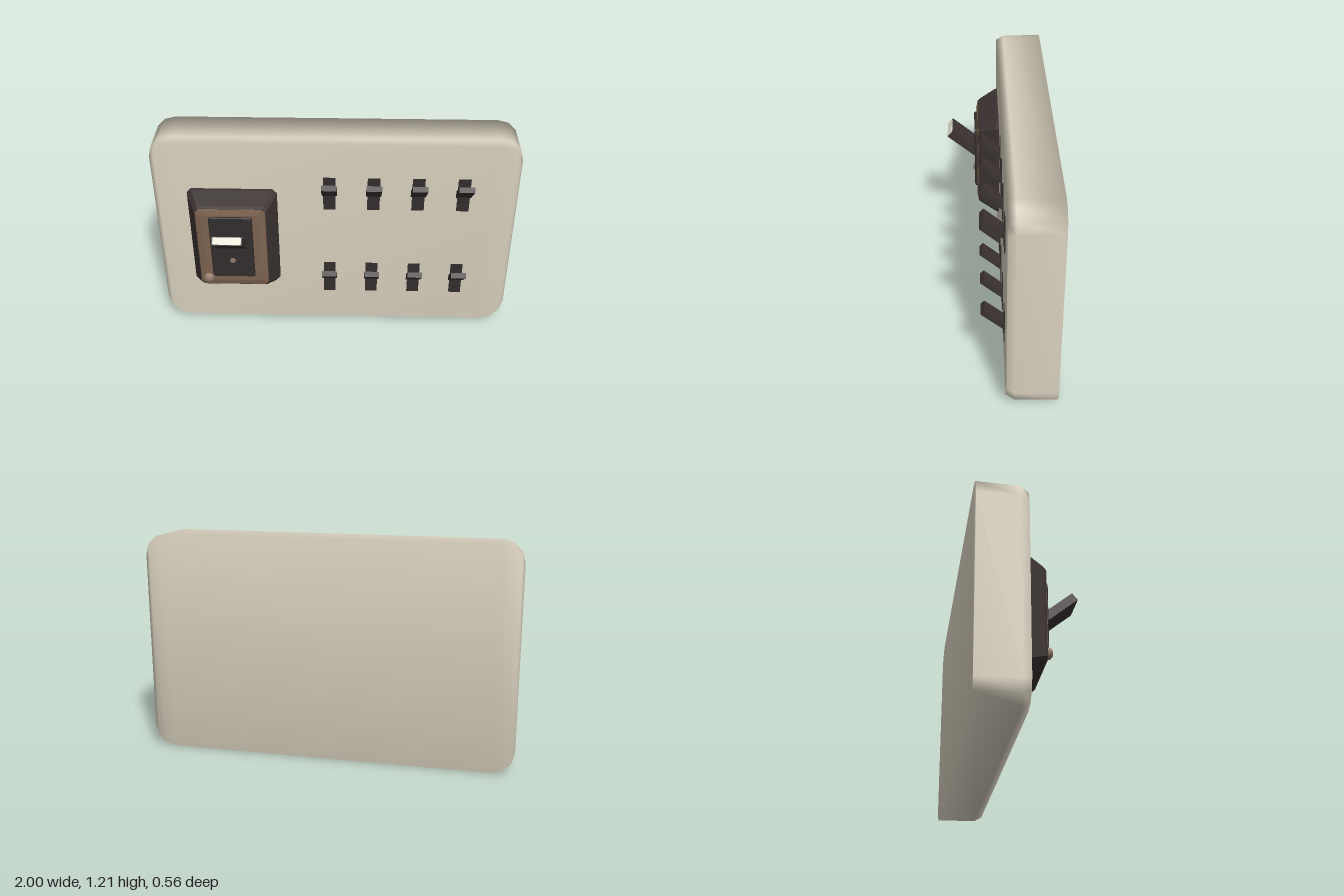
import * as THREE from 'three';

const mat = (name, color) => new THREE.MeshStandardMaterial({ name, color });

// Lofted rounded slab: each ring is [halfWidth, halfHeight, cornerRadius, z], back to front
function loft(rings, segs, flat) {
  const pos = [], index = [], n = 4 * (segs + 1);
  for (const [w, h, r, z] of rings) {
    for (let c = 0; c < 4; c++) {
      const cx = (c === 0 || c === 3 ? 1 : -1) * (w - r);
      const cy = (c < 2 ? 1 : -1) * (h - r);
      for (let s = 0; s <= segs; s++) {
        const a = (c + s / segs) * Math.PI / 2;
        pos.push(cx + r * Math.cos(a), cy + r * Math.sin(a), z);
      }
    }
  }
  for (let k = 0; k < rings.length - 1; k++) {
    for (let i = 0; i < n; i++) {
      const j = (i + 1) % n, a = k * n + i, b = k * n + j;
      index.push(a, b, b + n, a, b + n, a + n);
    }
  }
  // caps run as strips from the top edge to the bottom edge
  const f = (rings.length - 1) * n;
  for (let i = 0; i < n / 2 - 1; i++) {
    const a = i, b = i + 1, c = n - 2 - i, d = n - 1 - i;
    index.push(f + a, f + b, f + c, f + a, f + c, f + d);
    index.push(a, c, b, a, d, c);
  }
  let g = new THREE.BufferGeometry();
  g.setAttribute('position', new THREE.Float32BufferAttribute(pos, 3));
  g.setIndex(index);
  if (flat) g = g.toNonIndexed();
  g.computeVertexNormals();
  return g;
}

export function createModel() {
  const group = new THREE.Group();
  group.name = 'switchPanel';
  const cream = mat('casing cream', 0xd9d1bf);
  const dark = mat('dark plastic', 0x3b3331);
  const black = mat('slot black', 0x332e2d);
  const brown = mat('bezel brown', 0x7d6350);
  const tan = mat('lamp tan', 0x93796a);
  const ivory = mat('tip ivory', 0xeae6d6);

  const add = (name, geo, material, x = 0, y = 0, z = 0, parent = group) => {
    const m = new THREE.Mesh(geo, material);
    m.name = name;
    m.position.set(x, y, z);
    parent.add(m);
    return m;
  };

  // Casing with softened front edge
  add('casing', loft([
    [1, 0.604, 0.12, -0.28],
    [0.998, 0.6, 0.12, -0.06],
    [0.982, 0.582, 0.12, -0.02],
  ], 3, false), cream, 0, 0.604, 0);

  // Main switch housing
  const mx = -0.562, my = 0.6;
  add('switchHousing', loft([
    [0.248, 0.312, 0.025, -0.03],
    [0.243, 0.305, 0.025, -0.005],
    [0.2, 0.262, 0.02, 0.085],
    [0.192, 0.254, 0.02, 0.098],
  ], 1, true), dark, mx, my, 0);
  add('bezel', loft([
    [0.191, 0.253, 0.02, 0.095],
    [0.189, 0.251, 0.02, 0.1],
    [0.155, 0.217, 0.012, 0.108],
  ], 1, true), brown, mx, my, 0);
  add('switchPlate', loft([
    [0.118, 0.197, 0.008, 0.1],
    [0.118, 0.197, 0.008, 0.116],
    [0.114, 0.193, 0.008, 0.121],
  ], 1, true), black, mx, 0.612, 0);

  // Screw and indicator lamp
  const screw = add('screw', new THREE.CylinderGeometry(0.016, 0.016, 0.006, 10), tan, mx, 0.53, 0.122);
  screw.rotation.x = Math.PI / 2;
  const lampProfile = [[0, 0.032], [0.015, 0.03], [0.027, 0.02], [0.031, 0.008], [0.031, -0.01]]
    .map(([r, y]) => new THREE.Vector2(r, y)).reverse();
  const lamp = add('indicatorLamp', new THREE.LatheGeometry(lampProfile, 16), tan, -0.707, 0.397, 0.1);
  lamp.rotation.x = Math.PI / 2;

  // Slanted lever whose local z runs along its length, starting at its root
  const lever = (name, x, y, z, w, t, len, tilt) => {
    const g = new THREE.Group();
    g.name = name;
    g.position.set(x, y, z);
    g.rotation.x = -tilt;
    add('leverArm', new THREE.BoxGeometry(w, t, len), dark, 0, 0, len / 2, g);
    group.add(g);
    return g;
  };

  const main = lever('mainLever', mx, 0.622, 0.1, 0.164, 0.046, 0.217, 0.7);
  add('leverTip', loft([
    [0.077, 0.021, 0.008, 0],
    [0.075, 0.019, 0.008, 0.005],
  ], 2, true), ivory, 0, 0, 0.216, main);

  // Two rows of four small breakers
  for (const [row, y] of [['upper', 0.886], ['lower', 0.321]]) {
    [-0.03, 0.21, 0.452, 0.697].forEach((x, i) => {
      add(`${row}Slot${i + 1}`, new THREE.BoxGeometry(0.068, 0.2, 0.008), black, x, y, -0.019);
      lever(`${row}Lever${i + 1}`, x, y - 0.005, -0.03, 0.082, 0.03, 0.162, 0.72);
    });
  }
  return group;
}
